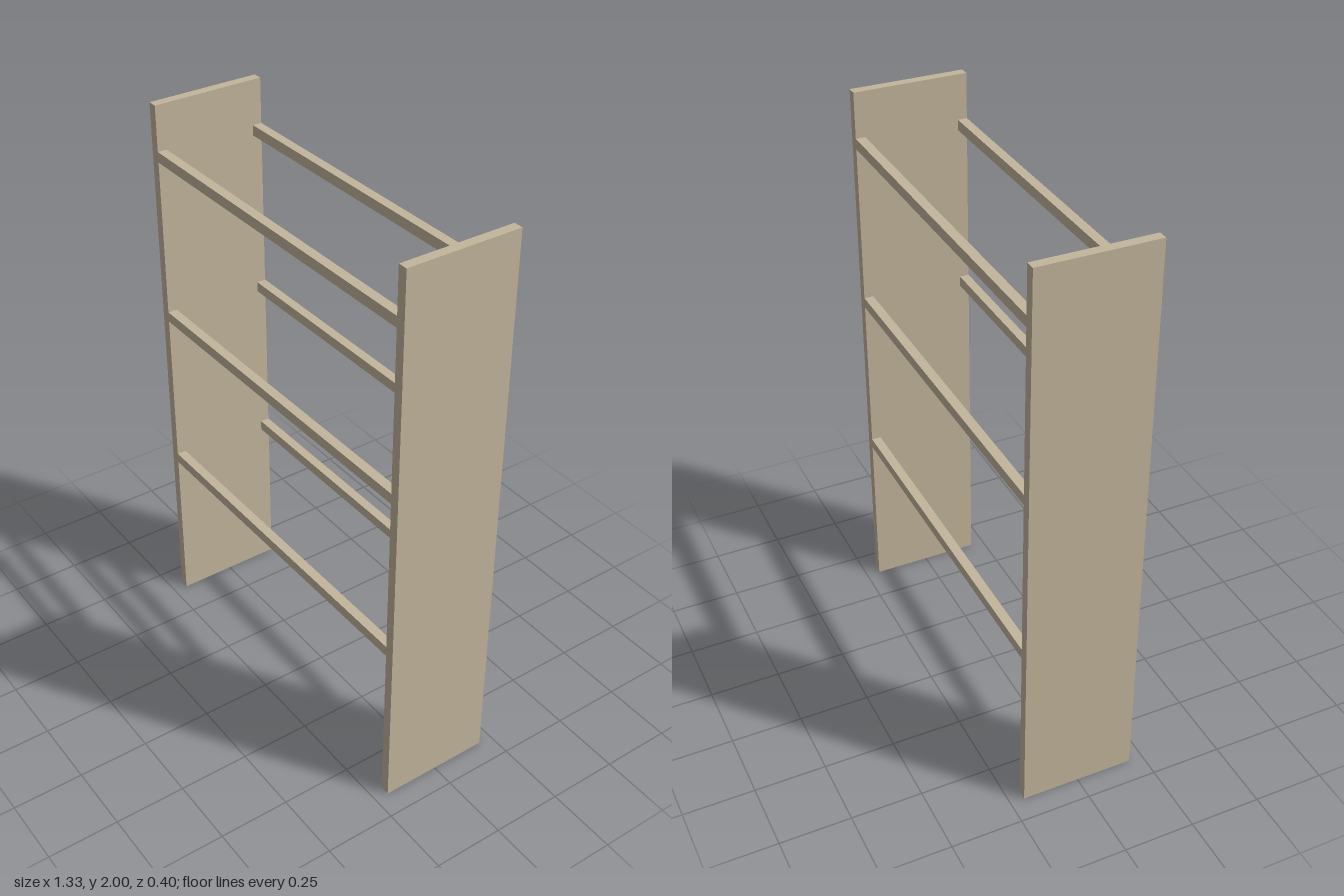
import * as THREE from 'three';

export function createModel() {
  const model = new THREE.Group();
  model.name = 'rackFrame';

  const wood = new THREE.MeshStandardMaterial({ color: 0xc2b59b });
  wood.name = 'tan wood';

  const width = 1.333, height = 2, depth = 0.4, board = 0.0333;
  const railHeight = 0.037;

  function addBox(name, w, h, d, x, y, z) {
    const mesh = new THREE.Mesh(new THREE.BoxGeometry(w, h, d), wood);
    mesh.name = name;
    mesh.position.set(x, y, z);
    model.add(mesh);
  }

  // Upright side panels
  for (const [name, side] of [['leftPanel', 1], ['rightPanel', -1]]) {
    addBox(name, board, height, depth, side * (width - board) / 2, height / 2, 0);
  }

  // Front and back rails at three levels, fitted between the panels
  const levels = { lower: 0.621, middle: 1.223, upper: 1.822 };
  for (const [level, y] of Object.entries(levels)) {
    for (const [place, side] of [['Front', 1], ['Back', -1]]) {
      addBox(`${level}${place}Rail`, width - 2 * board, railHeight, board,
        0, y, side * (depth - board) / 2);
    }
  }

  return model;
}
